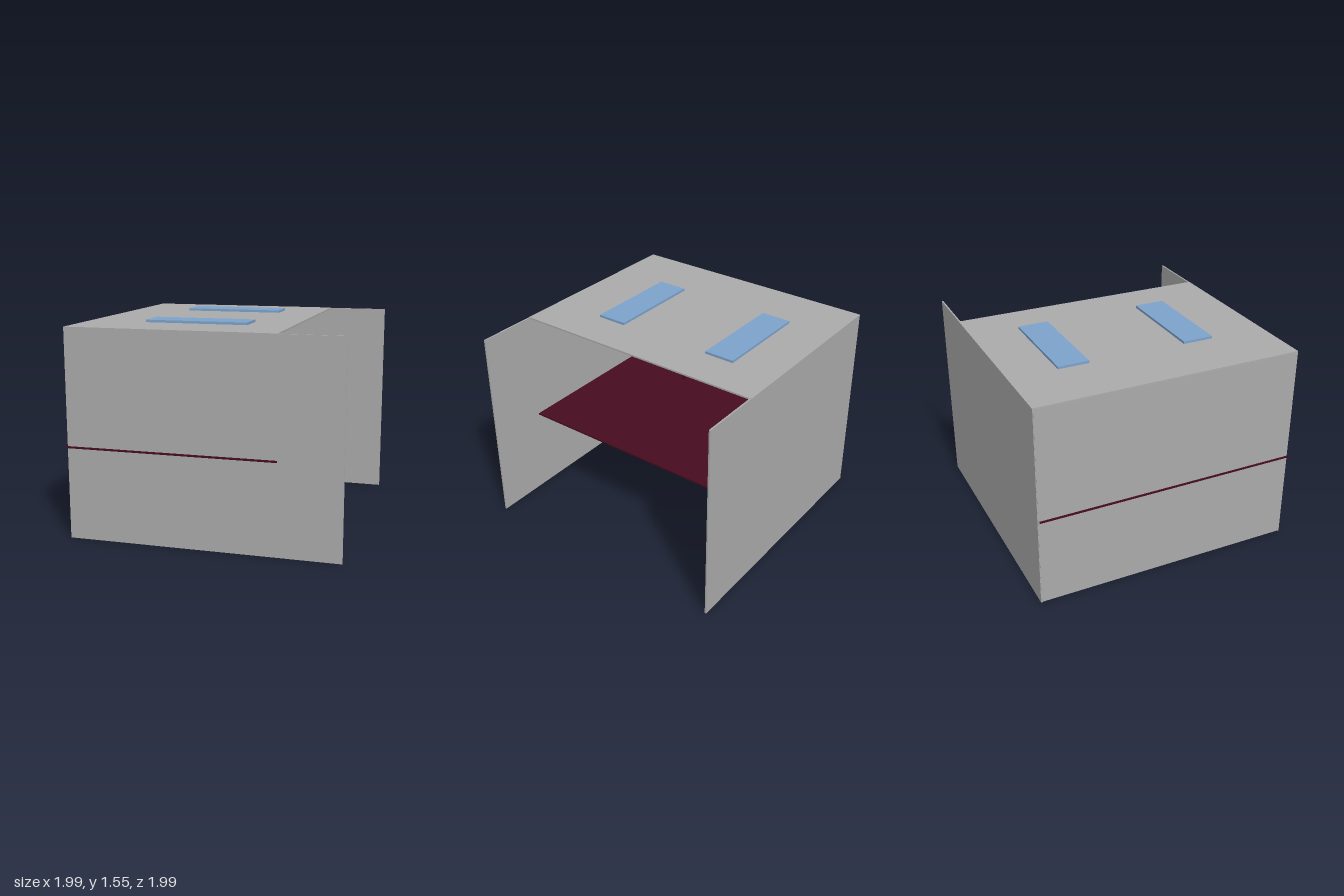
import * as THREE from 'three';

const material = (name, color) => {
  const m = new THREE.MeshStandardMaterial({ color });
  m.name = name;
  return m;
};

export function createModel() {
  const group = new THREE.Group();
  const grey = material('wall grey', 0xababab);
  const pale = material('pale grey', 0xcacaca);
  const blue = material('skylight blue', 0x7da3cb);
  const maroon = material('dark maroon', 0x460c20);

  // Box given by its extents on each axis
  function box(name, mat, [x0, x1], [y0, y1], [z0, z1]) {
    const mesh = new THREE.Mesh(new THREE.BoxGeometry(x1 - x0, y1 - y0, z1 - z0), mat);
    mesh.position.set((x0 + x1) / 2, (y0 + y1) / 2, (z0 + z1) / 2);
    mesh.name = name;
    group.add(mesh);
  }

  // Room shell, open at the bottom and on the +x side
  box('frontWall', grey, [-0.99, 0.99], [0, 1.53], [0.973, 0.985]);
  box('backWall', grey, [-0.99, 0.99], [0, 1.53], [-0.995, -0.983]);
  box('endWall', grey, [-0.992, -0.98], [0.005, 1.525], [-0.99, 0.98]);
  box('roof', grey, [-0.99, 0.532], [1.52, 1.532], [-0.997, 0.985]);

  // Floor slab, its edges poking through the front and end walls
  box('floor', maroon, [-1, 0.535], [0.669, 0.682], [-0.98, 0.995]);

  // Skylights set through the roof
  for (const z of [-0.525, 0.44]) {
    box('skylight', blue, [-0.545, 0.212], [1.475, 1.55], [z - 0.115, z + 0.115]);
  }

  // Wall screen
  box('screen', pale, [-0.981, -0.972], [0.93, 1.4], [-0.575, 0.65]);

  // Low table below the screen
  box('tableTop', pale, [-0.94, -0.55], [0.872, 0.887], [-0.355, 0.4]);
  for (const x of [-0.9, -0.59]) {
    for (const z of [-0.32, 0.36]) {
      box('tableLeg', maroon, [x - 0.01, x + 0.01], [0.68, 0.873], [z - 0.01, z + 0.01]);
    }
  }
  return group;
}
